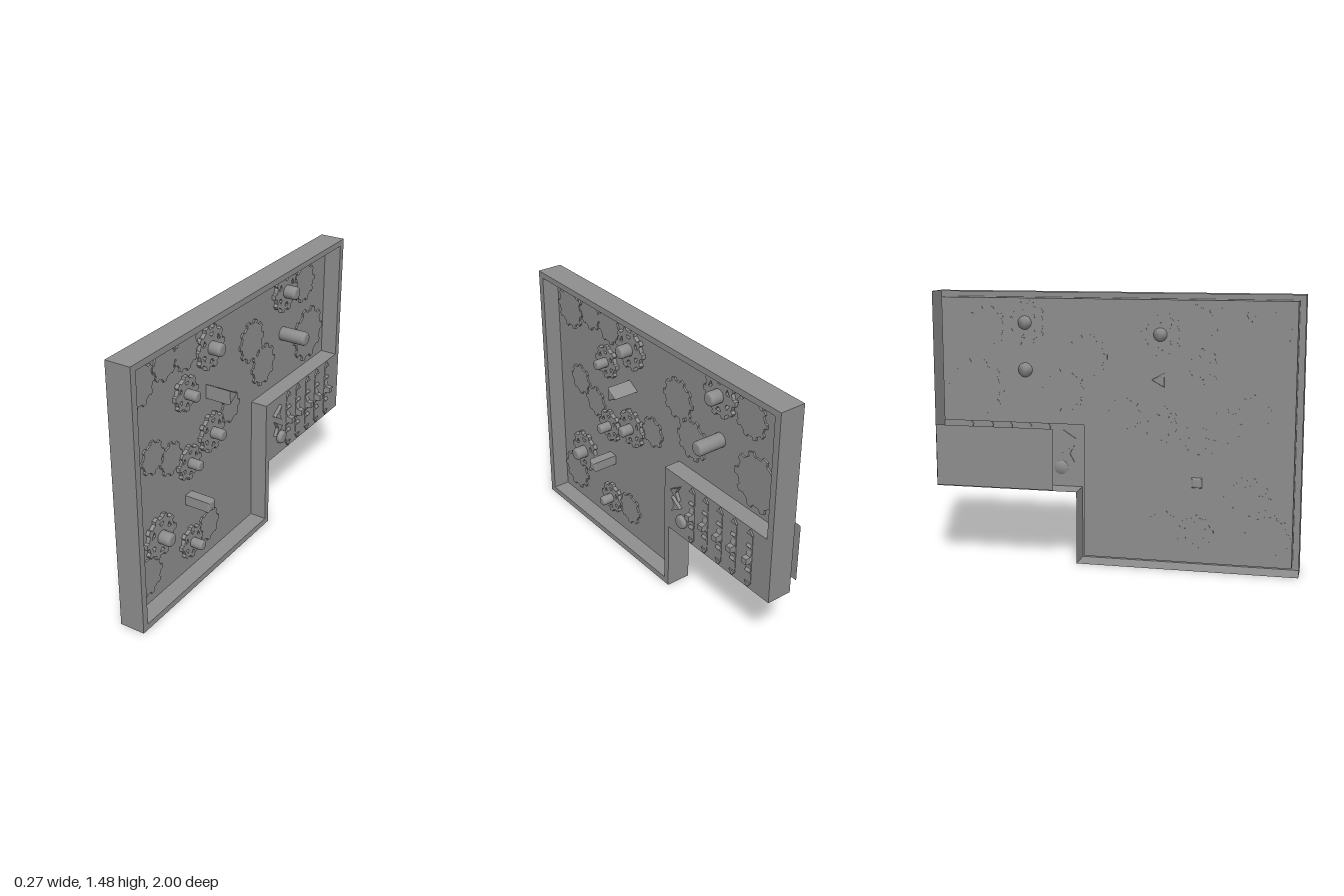
import * as THREE from 'three';

const material = new THREE.MeshStandardMaterial({ color: 0x8e8e8e, side: THREE.DoubleSide });
const PLATE = -0.02; // front surface of the recessed back plate
const FRONT = 0.076; // front surface of the rim
const REAR = -0.066; // rear edge of the outer wall

// Closed outline from [z, y] pairs; the shape's horizontal axis is -z
function outline(points, Type = THREE.Shape) {
  return new Type(points.map(([z, y]) => new THREE.Vector2(-z, y)));
}

// Extrude a side-on shape along x from x0 to x1
function slab(name, shape, x0, x1, parent) {
  const geo = new THREE.ExtrudeGeometry(shape, { depth: x1 - x0, bevelEnabled: false });
  geo.rotateY(Math.PI / 2);
  const mesh = new THREE.Mesh(geo, material);
  mesh.name = name;
  mesh.position.x = x0;
  parent.add(mesh);
  return mesh;
}

// Thin wall following a closed [z, y] outline from x0 to x1
function wall(name, points, x0, x1, parent) {
  const group = new THREE.Group();
  group.name = name;
  points.forEach(([z, y], i) => {
    const [z2, y2] = points[(i + 1) % points.length];
    const mesh = new THREE.Mesh(new THREE.PlaneGeometry(x1 - x0, Math.hypot(z2 - z, y2 - y)), material);
    mesh.name = name + 'Side';
    mesh.rotation.x = Math.atan2(z2 - z, y2 - y);
    mesh.position.set((x0 + x1) / 2, (y + y2) / 2, (z + z2) / 2);
    group.add(mesh);
  });
  parent.add(group);
}

// Toothed wheel outline centred on the origin
function gearShape(r, teeth, rootRatio = 0.85) {
  const pts = [];
  const step = (Math.PI * 2) / teeth;
  const corners = [[-0.25, rootRatio], [-0.17, 1], [0.17, 1], [0.25, rootRatio], [0.5, rootRatio]];
  for (let i = 0; i < teeth; i++) {
    for (const [f, k] of corners) {
      const a = (i + f) * step;
      pts.push(new THREE.Vector2(Math.cos(a) * r * k, Math.sin(a) * r * k));
    }
  }
  return new THREE.Shape(pts);
}

// Round pin along x with a softened front edge
function pin(name, r, x0, x1, z, y, parent) {
  const b = r * 0.4;
  const pts = [new THREE.Vector2(0, 0), new THREE.Vector2(r, 0), new THREE.Vector2(r, x1 - x0 - b)];
  for (let i = 1; i <= 6; i++) {
    const a = (i / 6) * Math.PI / 2;
    pts.push(new THREE.Vector2(r - b + Math.cos(a) * b, x1 - x0 - b + Math.sin(a) * b));
  }
  pts.push(new THREE.Vector2(0, x1 - x0));
  const mesh = new THREE.Mesh(new THREE.LatheGeometry(pts, 28), material);
  mesh.name = name;
  mesh.rotation.z = -Math.PI / 2;
  mesh.position.set(x0, y, z);
  parent.add(mesh);
}

// Prism along x with softened edges
function knob(name, shape, x0, x1, b, parent) {
  const geo = new THREE.ExtrudeGeometry(shape, {
    depth: x1 - x0 - 2 * b, bevelThickness: b, bevelSize: b, bevelOffset: -b, bevelSegments: 4,
  });
  geo.rotateY(Math.PI / 2);
  const mesh = new THREE.Mesh(geo, material);
  mesh.name = name;
  mesh.position.x = x0 + b;
  parent.add(mesh);
}

// Gear on the plate; a hub radius makes it spoked, rear is how far the hub pokes out behind
function addGear(parent, z, y, r, teeth, hub, rear) {
  const group = new THREE.Group();
  group.name = hub ? 'spokedGear' : 'flatGear';
  parent.add(group);
  const shape = gearShape(r, teeth);
  if (hub) {
    // Wedge windows between the spokes
    const n = 6;
    for (let i = 0; i < n; i++) {
      const a = ((i + 0.5) / n) * Math.PI * 2;
      const at = (da, k) => new THREE.Vector2(Math.cos(a + da) * r * k, Math.sin(a + da) * r * k);
      shape.holes.push(new THREE.Path([at(-0.1, 0.52), at(-0.24, 0.7), at(0.24, 0.7), at(0.1, 0.52)]));
    }
  }
  const wheel = slab('gearWheel', shape, PLATE - 0.007, PLATE + (hub ? 0.022 : 0.01), group);
  wheel.position.y = y;
  wheel.position.z = z;
  if (hub) pin('gearHub', hub, PLATE - rear, 0.07, z, y, group);
}

function addDial(parent, z) {
  const group = new THREE.Group();
  group.name = 'dial';
  parent.add(group);
  const geo = new THREE.ExtrudeGeometry(gearShape(0.122, 8, 0.78), { depth: 0.034, bevelEnabled: false });
  const wheel = new THREE.Mesh(geo, material);
  wheel.name = 'dialWheel';
  wheel.position.set(-0.006, 0.585, z - 0.017);
  group.add(wheel);
  // Slot surround and the arrow marks at both ends
  const surround = outline([[z + 0.018, 0.44], [z - 0.018, 0.44], [z - 0.018, 0.73], [z + 0.018, 0.73]]);
  slab('dialSurround', surround, 0.065, FRONT + 0.003, group);
  for (const s of [-1, 1]) {
    const base = 0.585 + s * 0.145;
    const arrow = outline([[z - 0.022, base], [z + 0.022, base], [z, base + s * 0.03]]);
    slab('dialArrow', arrow, 0.065, 0.086, group);
  }
}

export function createModel() {
  const model = new THREE.Group();
  model.name = 'gearPuzzleBoard';

  // Hollow case: recessed plate, front face, inner and outer walls
  const outer = [[1, 0], [-0.2, 0], [-0.2, 0.4], [-1, 0.4], [-1, 1.475], [1, 1.475]];
  const inner = [[0.962, 0.035], [-0.165, 0.035], [-0.165, 0.765], [-0.962, 0.765], [-0.962, 1.442], [0.962, 1.442]];
  slab('backPlate', outline(inner), PLATE - 0.005, PLATE, model);
  const face = outline(outer);
  face.holes.push(outline(inner, THREE.Path));
  slab('frontFace', face, FRONT - 0.004, FRONT, model);
  wall('innerWall', inner, PLATE, FRONT - 0.004, model);
  wall('outerWall', outer, REAR, FRONT - 0.004, model);

  // Plain gears: z, y, radius, teeth
  const flatGears = [
    [0.83, 1.285, 0.12, 10], [0.63, 1.325, 0.098, 8], [0.45, 1.315, 0.105, 9], [0.75, 0.865, 0.092, 8],
    [0.6, 0.785, 0.092, 8], [0.06, 0.835, 0.09, 8], [-0.155, 1.135, 0.12, 10], [-0.275, 0.95, 0.12, 10],
    [-0.71, 1.285, 0.115, 10], [-0.775, 0.95, 0.163, 10], [0.83, 0.205, 0.122, 10], [0.28, 0.215, 0.098, 8],
  ];
  for (const g of flatGears) addGear(model, ...g);

  // Spoked gears: z, y, radius, teeth, hub radius, hub length behind the plate
  const spokedGears = [
    [0.25, 1.26, 0.12, 10, 0.036, 0.012], [0.47, 1.095, 0.097, 8, 0.028, 0.006],
    [0.245, 0.775, 0.112, 10, 0.031, 0.006], [0.455, 0.695, 0.097, 8, 0.028, 0.006],
    [0.72, 0.395, 0.125, 10, 0.037, 0.006], [0.45, 0.205, 0.095, 8, 0.028, 0.006],
    [-0.49, 1.31, 0.12, 10, 0.037, 0.012],
  ];
  for (const g of spokedGears) addGear(model, ...g);

  // Round, triangular and square pegs
  pin('roundPeg', 0.039, PLATE - 0.012, 0.136, -0.49, 1.055, model);
  knob('trianglePeg', outline([[0.275, 0.98], [0.202, 1.02], [0.275, 1.06]]), PLATE - 0.008, 0.125, 0.006, model);
  knob('squarePeg', outline([[0.48, 0.447], [0.422, 0.447], [0.422, 0.504], [0.48, 0.504]]),
    PLATE - 0.014, 0.128, 0.012, model);

  // Dials set through the front face
  for (const z of [-0.4, -0.508, -0.62, -0.73, -0.848]) addDial(model, z);

  // Direction chevrons and push button
  const chevron = (tip, y, d) => outline([
    [tip, y], [tip - d * 0.07, y + 0.045], [tip - d * 0.045, y], [tip - d * 0.07, y - 0.045]]);
  slab('chevron', chevron(-0.235, 0.67, 1), 0.065, 0.096, model);
  slab('chevron', chevron(-0.315, 0.585, -1), 0.065, 0.096, model);
  pin('button', 0.038, 0.065, 0.102, -0.32, 0.505, model);

  // Thin cover sheet behind the dials
  const cover = new THREE.Mesh(new THREE.PlaneGeometry(0.66, 0.335), material);
  cover.name = 'rearCover';
  cover.rotation.y = -Math.PI / 2;
  cover.position.set(-0.136, 0.588, -0.64);
  model.add(cover);

  return model;
}
